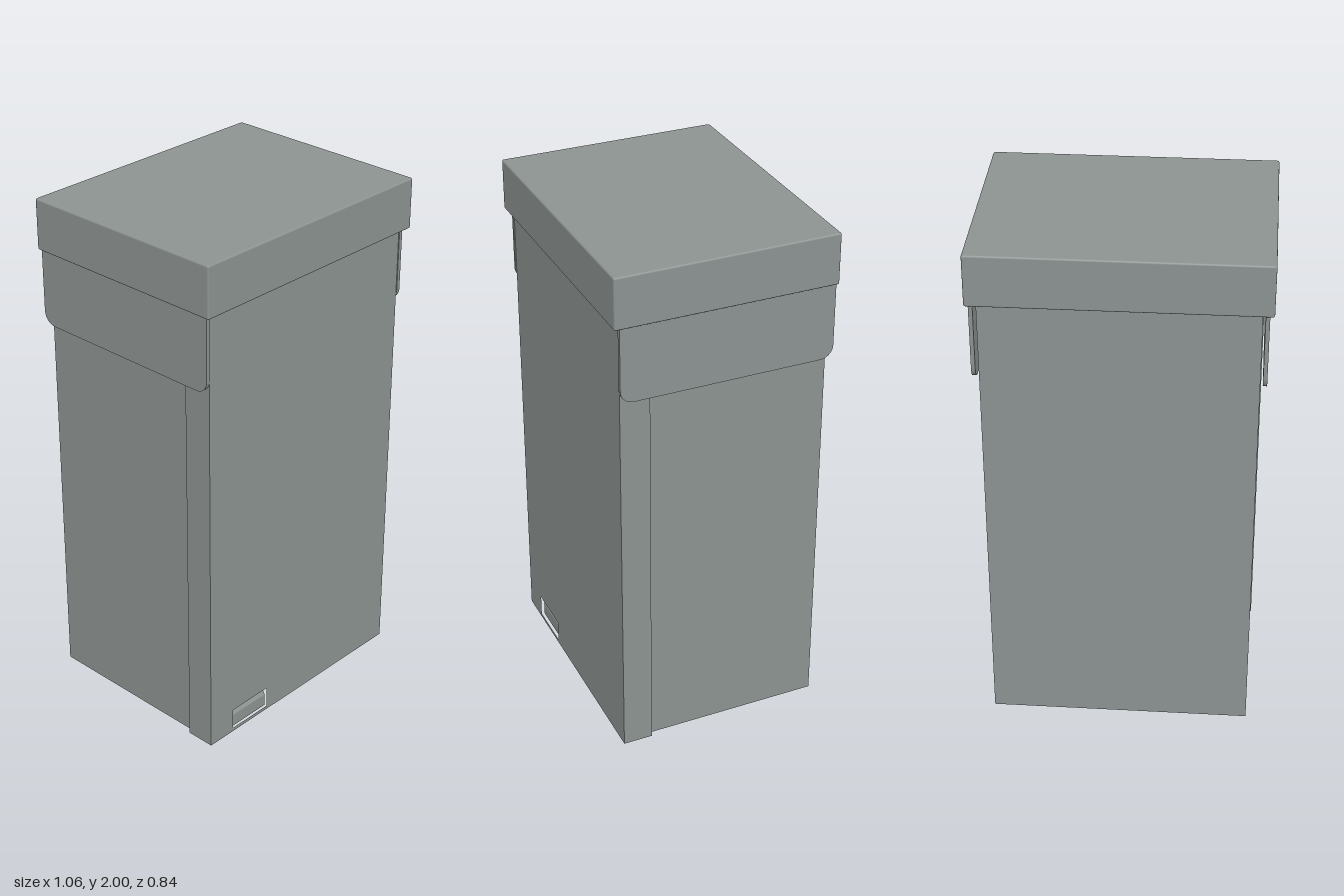
import * as THREE from 'three';
import { RoundedBoxGeometry } from 'three/addons/geometries/RoundedBoxGeometry.js';

const material = new THREE.MeshStandardMaterial({ color: 0x8c9391 });

function add(group, name, geometry, x = 0, y = 0, z = 0) {
  const mesh = new THREE.Mesh(geometry, material);
  mesh.name = name;
  mesh.position.set(x, y, z);
  group.add(mesh);
  return mesh;
}

function rectangle(Type, x0, y0, x1, y1) {
  return new Type([[x0, y0], [x0, y1], [x1, y1], [x1, y0]].map(p => new THREE.Vector2(...p)));
}

const extrude = (shape, depth) =>
  new THREE.ExtrudeGeometry(shape, { depth, bevelEnabled: false, curveSegments: 8 });

export function createModel() {
  const bin = new THREE.Group();
  bin.name = 'pedalBin';

  // Main container, a little narrower than the panel and raised off the floor
  add(bin, 'body', new THREE.BoxGeometry(0.984, 1.81, 0.69), 0, 0.917, -0.055);

  // Front panel reaching the floor, with a slot for the pedal
  const panel = rectangle(THREE.Shape, -0.5, 0, 0.5, 1.82);
  panel.holes.push(rectangle(THREE.Path, -0.38, 0.015, -0.19, 0.1));
  add(bin, 'frontPanel', extrude(panel, 0.114), 0, 0, 0.28);

  // Pedal set into the slot: upright front, top sloping up and inward
  const pedal = new THREE.Shape();
  pedal.moveTo(0.28, 0.01);
  pedal.lineTo(0.38, 0.01);
  pedal.lineTo(0.38, 0.06);
  pedal.lineTo(0.35, 0.105);
  pedal.lineTo(0.28, 0.105);
  pedal.closePath();
  add(bin, 'pedal', extrude(pedal, 0.2), -0.185, 0, 0).rotation.y = -Math.PI / 2;

  // Lid overhanging the body on all sides
  add(bin, 'lid', new RoundedBoxGeometry(1.064, 0.196, 0.844, 2, 0.007), 0, 1.902, 0);

  // Side flaps under the lid with rounded lower corners
  const z0 = -0.418, z1 = 0.397, low = 1.51, r = 0.05;
  const flap = new THREE.Shape();
  flap.moveTo(z0, 1.82);
  flap.lineTo(z0, low + r);
  flap.absarc(z0 + r, low + r, r, Math.PI, 1.5 * Math.PI);
  flap.lineTo(z1 - r, low);
  flap.absarc(z1 - r, low + r, r, 1.5 * Math.PI, 2 * Math.PI);
  flap.lineTo(z1, 1.82);
  flap.closePath();
  for (const [name, x] of [['leftFlap', 0.516], ['rightFlap', -0.501]]) {
    add(bin, name, extrude(flap, 0.015), x, 0, 0).rotation.y = -Math.PI / 2;
  }

  return bin;
}
